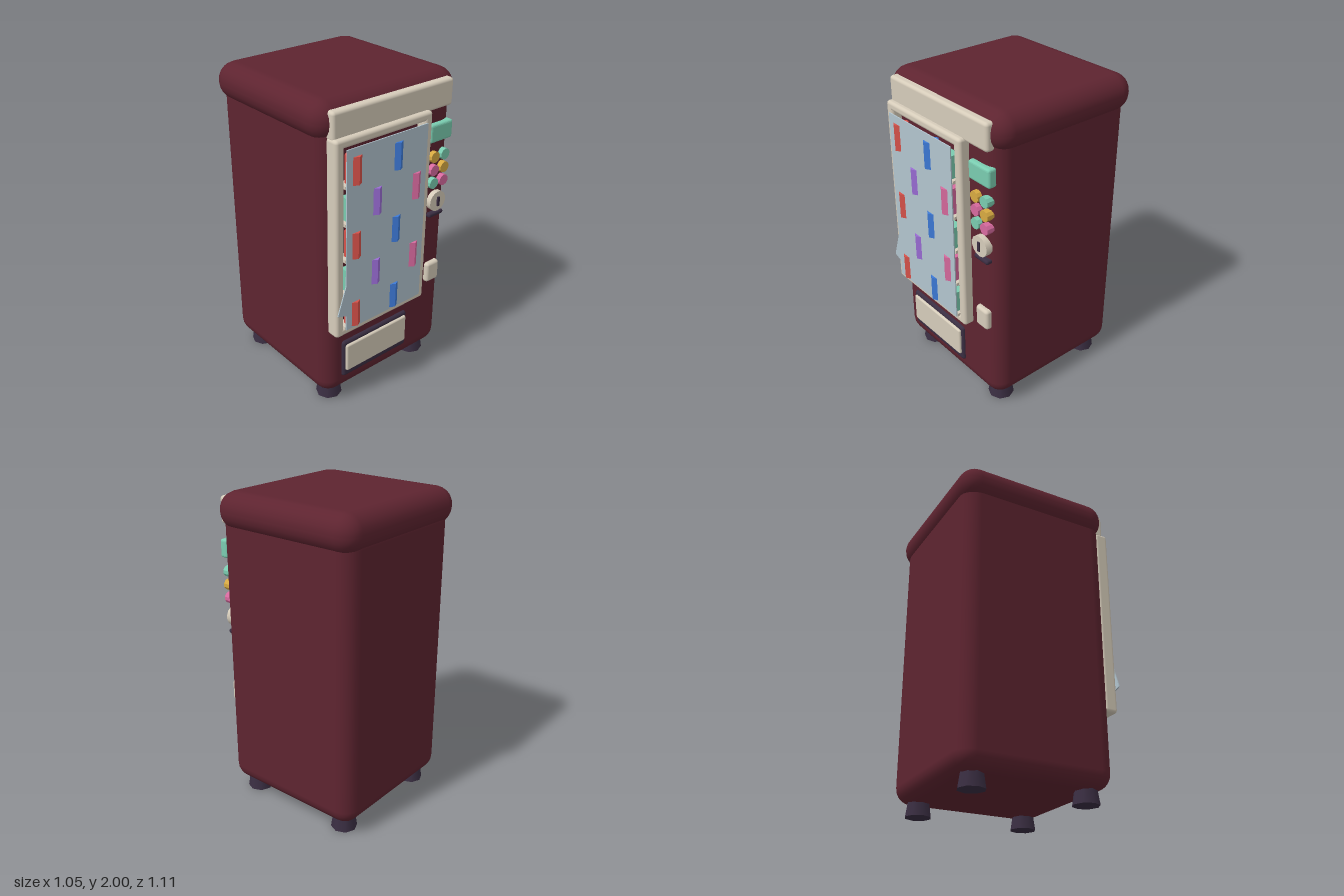
import * as THREE from 'three';
import { RoundedBoxGeometry } from 'three/addons/geometries/RoundedBoxGeometry.js';

const material = (name, color) => {
  const m = new THREE.MeshStandardMaterial({ color });
  m.name = name;
  return m;
};

export function createModel() {
  const maroon = material('maroon paint', 0x5e2430);
  const cream = material('cream trim', 0xd6ccba);
  const dark = material('dark plum', 0x3a2e42);
  const glassBlue = material('pale glass', 0xb2c5cf);
  const red = material('red', 0xd8524a);
  const blue = material('blue', 0x3d7ad8);
  const purple = material('purple', 0x9b6dd6);
  const pink = material('pink', 0xd86a9f);
  const yellow = material('yellow', 0xd8aa42);
  const teal = material('teal', 0x7accb0);
  for (const m of [red, blue, purple, pink, yellow, teal]) m.flatShading = true;
  // display keeps smooth normals through its rounded geometry
  const model = new THREE.Group();
  model.name = 'vendingMachine';

  const add = (name, geometry, mat, x = 0, y = 0, z = 0, parent = model) => {
    const mesh = new THREE.Mesh(geometry, mat);
    mesh.name = name;
    mesh.position.set(x, y, z);
    parent.add(mesh);
    return mesh;
  };
  const group = (name) => {
    const g = new THREE.Group();
    g.name = name;
    model.add(g);
    return g;
  };
  // Rounded block given by its limits on each axis
  const block = (name, mat, [x0, x1], [y0, y1], [z0, z1], radius, parent = model, segments = 2) =>
    add(name, new RoundedBoxGeometry(x1 - x0, y1 - y0, z1 - z0, segments, radius), mat,
      (x0 + x1) / 2, (y0 + y1) / 2, (z0 + z1) / 2, parent);
  // Disc whose axis points to the front
  const disc = (name, mat, radius, depth, sides, x, y, z, parent = model) =>
    add(name, new THREE.CylinderGeometry(radius, radius, depth, sides).rotateX(Math.PI / 2), mat, x, y, z, parent);

  // Cabinet and overhanging cap
  block('cabinet', maroon, [-0.49, 0.49], [0.08, 1.9], [-0.525, 0.457], 0.1, model, 3);
  block('cap', maroon, [-0.525, 0.525], [1.77, 2], [-0.55, 0.468], 0.112, model, 3);
  block('signPanel', cream, [-0.45, 0.445], [1.79, 1.957], [0.42, 0.488], 0.02);

  // Tapered feet
  const feet = group('feet');
  for (const x of [-0.36, 0.36])
    for (const z of [-0.395, 0.325])
      add('foot', new THREE.CylinderGeometry(0.062, 0.082, 0.13, 8), dark, x, 0.065, z, feet);

  // Window frame of four rounded bars
  const frame = group('windowFrame');
  const frameZ = [0.43, 0.52];
  for (const x of [-0.455, 0.195])
    block('frameSide', cream, [x, x + 0.06], [0.56, 1.81], frameZ, 0.02, frame);
  for (const y of [0.56, 1.755])
    block('frameRail', cream, [-0.455, 0.255], [y, y + 0.055], frameZ, 0.02, frame);

  // Glass pane with a pointed shard on its left edge
  const pane = new THREE.Shape([
    [-0.398, 0.612], [0.197, 0.612], [0.197, 1.755], [-0.398, 1.755],
    [-0.398, 0.92], [-0.46, 0.735], [-0.398, 0.715],
  ].map(([x, y]) => new THREE.Vector2(x, y)));
  add('glass', new THREE.ExtrudeGeometry(pane, { depth: 0.007, bevelEnabled: false }), glassBlue, 0, 0, 0.533);

  // Shelves with goods: hexagonal cans poke through, boxes stay behind the glass
  const goods = group('goods');
  const canGeometry = new THREE.CylinderGeometry(0.05, 0.05, 0.165, 6);
  const boxGeometry = new THREE.BoxGeometry(0.09, 0.14, 0.07);
  const rows = [[red, yellow, blue, teal], [teal, purple, yellow, pink]];
  for (let r = 0; r < 5; r++) {
    const y = 1.623 - r * 0.229;
    add('shelf', new THREE.BoxGeometry(0.59, 0.02, 0.08), cream, -0.1, y - 0.092, 0.486, goods);
    rows[r % 2].forEach((mat, c) => {
      const x = -0.325 + c * 0.15;
      if ((r + c) % 2 === 0) add('can', canGeometry, mat, x, y, 0.508, goods);
      else add('snackBox', boxGeometry, mat, x, y - 0.012, 0.49, goods);
    });
  }

  // Control panel: display, buttons, coin slot
  block('display', teal, [0.28, 0.46], [1.585, 1.7], [0.43, 0.488], 0.015);
  const buttons = group('buttons');
  [[yellow, teal], [pink, yellow], [teal, pink]].forEach((pair, r) =>
    pair.forEach((mat, c) =>
      disc('button', mat, 0.035, 0.06, 10, 0.33 + c * 0.082, 1.49 - r * 0.085, 0.458, buttons)));
  disc('coinPlate', cream, 0.066, 0.05, 14, 0.37, 1.19, 0.465);
  add('coinSlot', new THREE.BoxGeometry(0.018, 0.06, 0.02), dark, 0.37, 1.19, 0.489);
  block('coinLip', dark, [0.31, 0.432], [1.085, 1.115], [0.44, 0.485], 0.013);
  block('coinReturn', cream, [0.318, 0.425], [0.613, 0.752], [0.43, 0.488], 0.02);

  // Delivery tray and flap
  block('trayFrame', dark, [-0.365, 0.165], [0.2, 0.465], [0.42, 0.475], 0.02);
  block('trayFlap', cream, [-0.347, 0.147], [0.248, 0.44], [0.43, 0.49], 0.012);

  return model;
}
